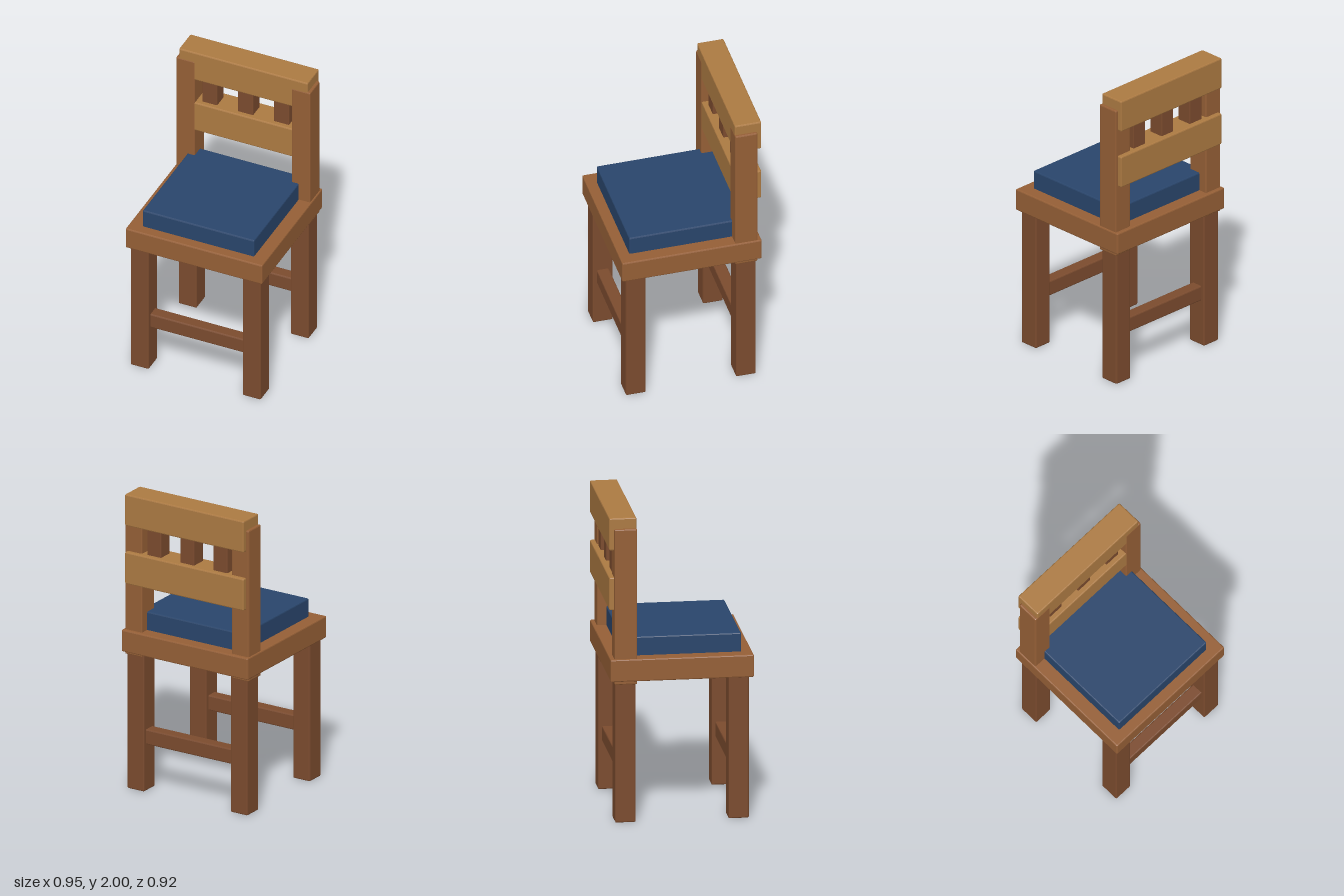
import * as THREE from 'three';
import { RoundedBoxGeometry } from 'three/addons/geometries/RoundedBoxGeometry.js';

const paint = (color) => new THREE.MeshStandardMaterial({ color, flatShading: true });

export function createModel() {
  const chair = new THREE.Group();
  chair.name = 'chair';
  const darkWood = paint(0x7b4b2e);
  const midWood = paint(0x955f36);
  const lightWood = paint(0xac7a42);
  const fabric = paint(0x29456b);

  // Box with narrow chamfered edges, given by its [min, max] on each axis
  function block(name, material, [x0, x1], [y0, y1], [z0, z1], bevel = 0.008) {
    const geometry = new RoundedBoxGeometry(x1 - x0, y1 - y0, z1 - z0, 1, bevel);
    const mesh = new THREE.Mesh(geometry, material);
    mesh.name = name;
    mesh.position.set((x0 + x1) / 2, (y0 + y1) / 2, (z0 + z1) / 2);
    chair.add(mesh);
  }

  // Seat and cushion
  block('seat', midWood, [-0.476, 0.476], [0.93, 1.077], [-0.455, 0.46]);
  block('cushion', fabric, [-0.388, 0.388], [1.06, 1.2], [-0.37, 0.39]);

  // Legs and back posts, mirrored left and right
  for (const side of [-1, 1]) {
    const label = side > 0 ? 'left' : 'right';
    const span = (a, b) => (side > 0 ? [a, b] : [-b, -a]);
    block(label + 'FrontLeg', darkWood, span(0.327, 0.453), [0, 0.95], [0.3, 0.43]);
    block(label + 'BackLeg', darkWood, span(0.327, 0.453), [0, 0.95], [-0.423, -0.292]);
    block(label + 'BackPost', midWood, span(0.337, 0.467), [0.908, 1.93], [-0.43, -0.284]);
  }

  // Stretchers joining each pair of legs
  block('frontStretcher', darkWood, [-0.34, 0.34], [0.313, 0.415], [0.325, 0.405]);
  block('backStretcher', darkWood, [-0.34, 0.34], [0.313, 0.415], [-0.398, -0.318]);

  // Back rails
  block('topRail', lightWood, [-0.448, 0.448], [1.788, 2], [-0.46, -0.286]);
  block('lowerRail', lightWood, [-0.448, 0.448], [1.395, 1.61], [-0.46, -0.286]);

  // Short spindles between the rails
  for (const x of [-0.25, 0, 0.25]) {
    block('spindle', darkWood, [x - 0.053, x + 0.053], [1.59, 1.81], [-0.425, -0.32], 0.006);
  }

  return chair;
}
